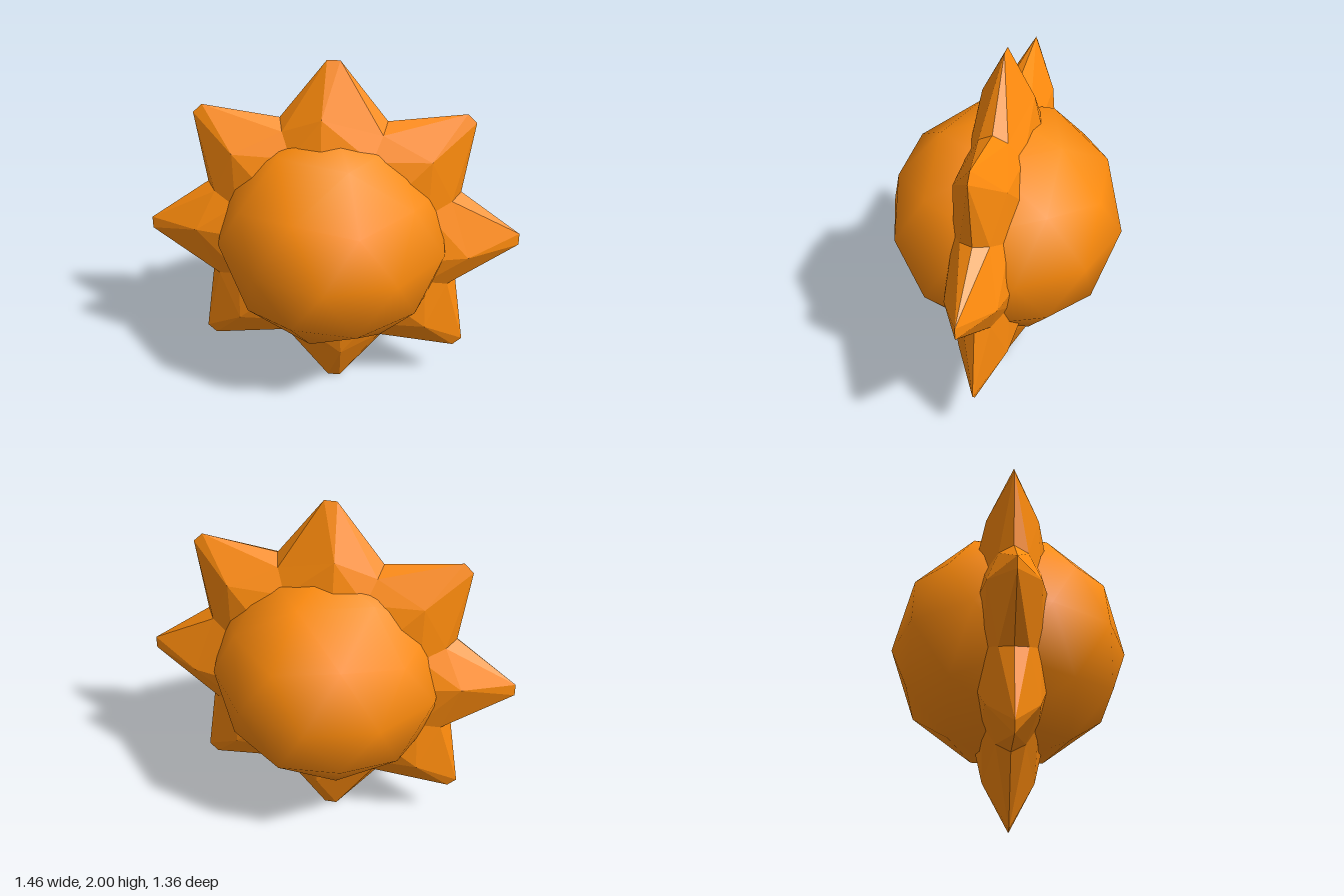
import * as THREE from 'three';

const DEG = Math.PI / 180;
const ORANGE = 0xff8c0d;

// One star ray pointing up (+y), lying in the xy plane; lean shifts its ridge sideways
function rayGeometry(lean) {
  const valley = (side, r, w) => [side * r * Math.sin(22.5 * DEG), r * Math.cos(22.5 * DEG), w];
  const out = [];
  const tri = (a, b, c, face) => {
    for (const p of face > 0 ? [a, b, c] : [a, c, b]) out.push(p[0], p[1], p[2] * face);
  };
  const quad = (a, b, c, d, face) => { tri(a, b, c, face); tri(a, c, d, face); };

  const tipL = [-0.034, 1, 0], tipR = [0.034, 1, 0];
  const ridge = [lean, 0.73, 0.138], root = [lean, 0.54, 0.18];
  const [l1, l2, l3] = [[0.73, 0], [0.68, 0.076], [0.55, 0.145]].map(([r, w]) => valley(-1, r, w));
  const [r1, r2, r3] = [l1, l2, l3].map(([x, y, w]) => [-x, y, w]);

  for (const face of [1, -1]) {
    tri(tipL, ridge, tipR, face);
    quad(tipL, l1, l2, ridge, face);
    quad(tipR, ridge, r2, r1, face);
    quad(ridge, l2, l3, root, face);
    quad(ridge, root, r3, r2, face);
  }
  const g = new THREE.BufferGeometry();
  g.setAttribute('position', new THREE.Float32BufferAttribute(out, 3));
  g.computeVertexNormals();
  return g;
}

export function createModel() {
  const model = new THREE.Group();
  model.name = 'sun';

  // Smooth-shaded low-poly ball, turned so a five-sided corner is on top
  const ballGeometry = new THREE.IcosahedronGeometry(0.635, 1);
  ballGeometry.rotateX(-Math.atan((1 + Math.sqrt(5)) / 2));
  ballGeometry.rotateY(-11 * DEG);
  const ball = new THREE.Mesh(ballGeometry, new THREE.MeshStandardMaterial({ color: ORANGE }));
  ball.name = 'ball';
  ball.position.y = 1;
  model.add(ball);

  // Flat ring of eight faceted rays
  const rays = new THREE.Group();
  rays.name = 'rays';
  rays.position.y = 1;
  rays.rotation.y = 43 * DEG;
  const rayMaterial = new THREE.MeshStandardMaterial({ color: ORANGE, flatShading: true });
  const leans = [-0.05, 0, 0.05, 0];
  for (let i = 0; i < 8; i++) {
    const ray = new THREE.Mesh(rayGeometry(leans[i % 4]), rayMaterial);
    ray.name = 'ray' + (i + 1);
    ray.rotation.z = -i * 45 * DEG;
    rays.add(ray);
  }
  model.add(rays);
  return model;
}
